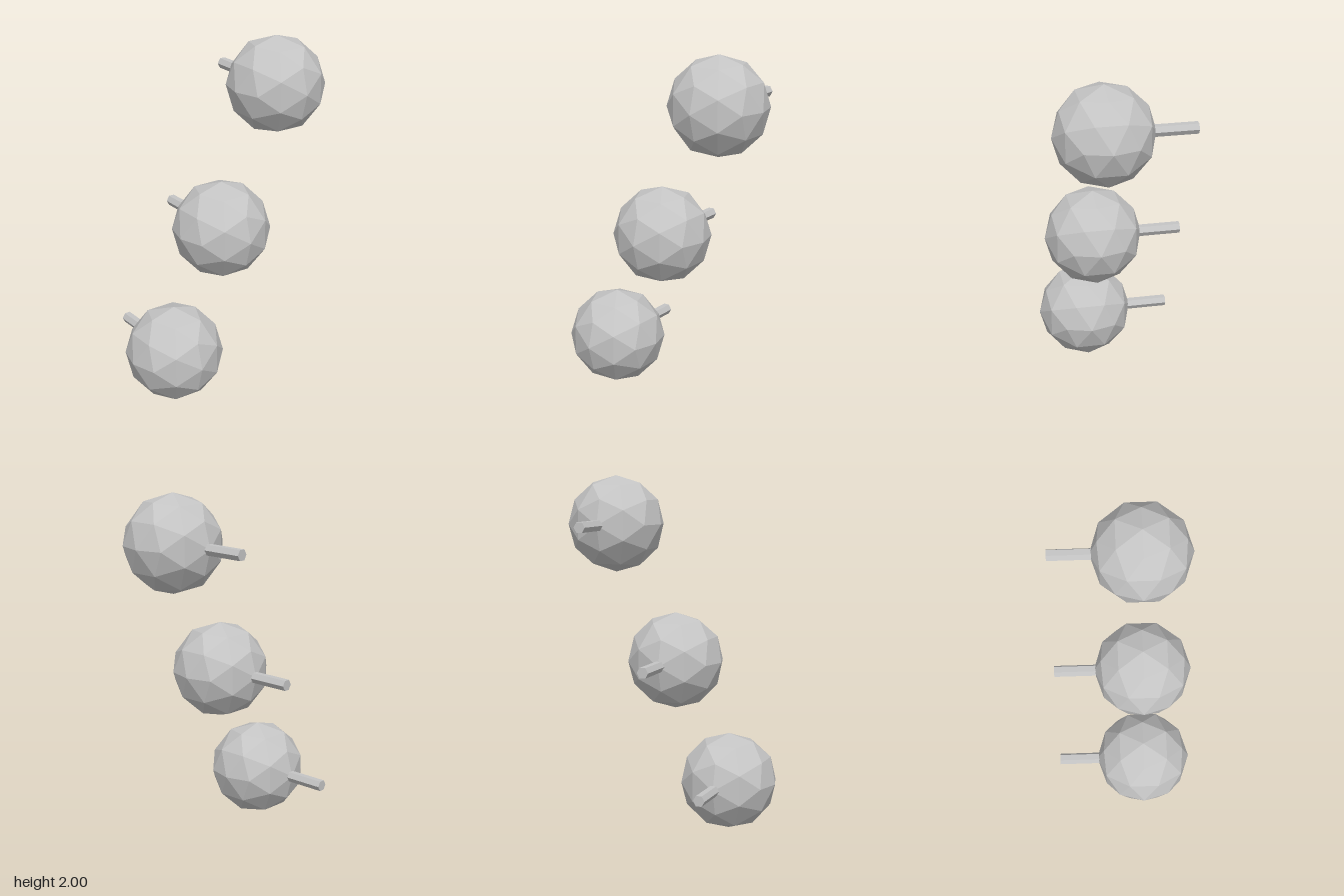
import * as THREE from 'three';

export function createModel() {
  const model = new THREE.Group();
  model.name = 'wallKnobs';

  const grey = new THREE.MeshStandardMaterial({ color: 0xc4c4c4, flatShading: true });
  grey.name = 'light grey';

  const radius = 0.275;
  const ballZ = 0.112;
  const pegBack = -0.387;
  const pegFront = -0.1; // buried inside the ball

  // faceted ball
  const ballGeometry = new THREE.IcosahedronGeometry(radius, 1);

  // hexagonal peg along z, with flat faces up and down
  const pegGeometry = new THREE.CylinderGeometry(0.033, 0.033, pegFront - pegBack, 6, 1, false, Math.PI / 2);
  pegGeometry.rotateX(Math.PI / 2);

  // three knobs rising from right to left
  const places = [
    ['lower', -0.346, 0.28],
    ['middle', -0.022, 0.955],
    ['upper', 0.344, 1.726],
  ];
  for (const [label, x, y] of places) {
    const knob = new THREE.Group();
    knob.name = label + 'Knob';
    knob.position.set(x, y, 0);

    const ball = new THREE.Mesh(ballGeometry, grey);
    ball.name = label + 'Ball';
    ball.position.z = ballZ;

    const peg = new THREE.Mesh(pegGeometry, grey);
    peg.name = label + 'Peg';
    peg.position.z = (pegFront + pegBack) / 2;

    knob.add(ball, peg);
    model.add(knob);
  }
  return model;
}
